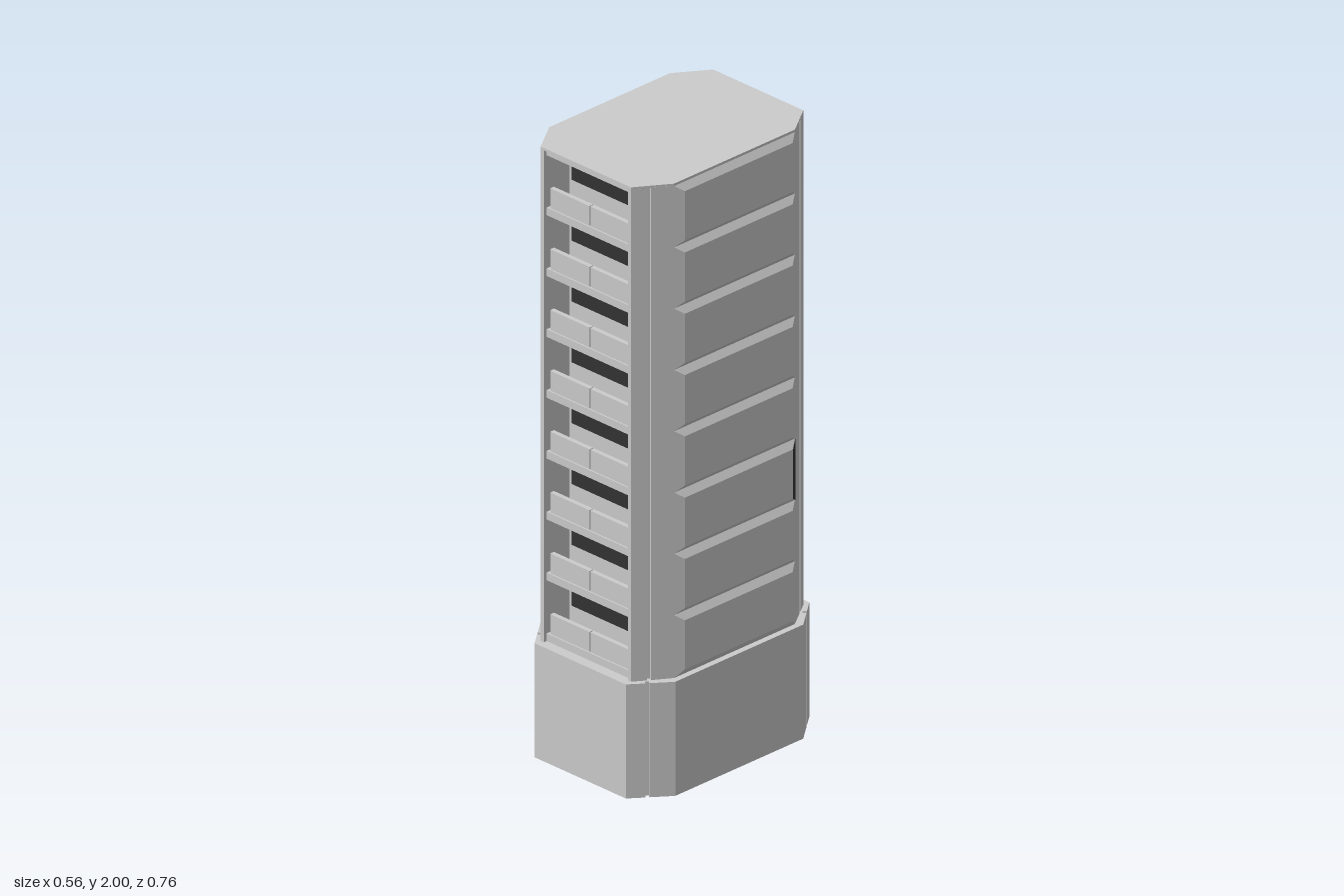
import * as THREE from 'three';

const grey = new THREE.MeshStandardMaterial({ color: 0xcccccc, flatShading: true });
const dark = new THREE.MeshStandardMaterial({ color: 0x333333, flatShading: true, side: THREE.DoubleSide });

const FRONT = 0.357, NOTCH = 0.26, BULGE = 0.278;
const FLOORS = 8, PITCH = 0.2015, FIRST = 0.38;
// the corner chamfers lie on one slanted plane, so z follows from x
const chamferZ = x => 0.25 - (x - NOTCH) * 1.5;

// Chamfer from p to q with a narrow square slot cut at its point g
function slottedChamfer(p, q, g, half = 0.006, depth = 0.012) {
  const len = Math.hypot(q[0] - p[0], q[1] - p[1]);
  const t = [(q[0] - p[0]) / len, (q[1] - p[1]) / len];
  const n = [-t[1], t[0]];
  const at = (s, d) => [g[0] + t[0] * s - n[0] * d, g[1] + t[1] * s - n[1] * d];
  return [p, at(-half, 0), at(-half, depth), at(half, depth), at(half, 0), q];
}
const flipZ = pts => pts.map(([x, z]) => [x, -z]).reverse();
const closeRing = half => [...half, ...half.map(([x, z]) => [-x, z]).reverse()];

// Tower outline at half width w, with front and back recesses
function towerRing(w) {
  const corner = slottedChamfer([0.188, FRONT], [w, chamferZ(w)], [0.218, 0.313]);
  return closeRing([
    [0.175, 0.25], [0.175, FRONT], ...corner,
    ...flipZ(corner), [0.085, -FRONT], [0.085, -0.285],
  ]);
}

// Walls through stacked rings
function loft(levels) {
  const pos = [];
  for (let i = 0; i < levels.length - 1; i++) {
    const lo = levels[i], hi = levels[i + 1];
    lo.ring.forEach((a, j) => {
      const k = (j + 1) % lo.ring.length;
      const A = [a[0], lo.y, a[1]], B = [lo.ring[k][0], lo.y, lo.ring[k][1]];
      const C = [hi.ring[k][0], hi.y, hi.ring[k][1]], D = [hi.ring[j][0], hi.y, hi.ring[j][1]];
      pos.push(...A, ...B, ...C, ...A, ...C, ...D);
    });
  }
  const geo = new THREE.BufferGeometry();
  geo.setAttribute('position', new THREE.Float32BufferAttribute(pos, 3));
  geo.computeVertexNormals();
  return geo;
}

// Solid plate from a ring
function prism(ring, y0, y1) {
  const shape = new THREE.Shape(ring.map(([x, z]) => new THREE.Vector2(x, -z)));
  const geo = new THREE.ExtrudeGeometry(shape, { depth: y1 - y0, bevelEnabled: false });
  return geo.rotateX(-Math.PI / 2).translate(0, y0, 0);
}

export function createModel() {
  const group = new THREE.Group();
  const add = (name, geo, mat = grey) => {
    const mesh = new THREE.Mesh(geo, mat);
    mesh.name = name;
    group.add(mesh);
  };
  const box = (name, x0, x1, y0, y1, z0, z1, mat) => add(name,
    new THREE.BoxGeometry(x1 - x0, y1 - y0, z1 - z0)
      .translate((x0 + x1) / 2, (y0 + y1) / 2, (z0 + z1) / 2), mat);

  // Podium
  const baseCorner = slottedChamfer([0.19, 0.38], [0.28, 0.265], [0.2291, 0.33]);
  add('podium', prism(closeRing([...baseCorner, ...flipZ(baseCorner)]), 0, 0.375));

  // Tower walls, notched at every floor
  const levels = [];
  for (let i = 0; i <= FLOORS; i++) {
    const y = FIRST + i * PITCH;
    if (i > 0) levels.push({ y: y - 0.02, ring: towerRing(BULGE) });
    levels.push({ y: i ? y : 0.375, ring: towerRing(NOTCH) });
    if (i < FLOORS) levels.push({ y: y + 0.02, ring: towerRing(BULGE) });
  }
  add('towerWalls', loft(levels));

  // Roof plate
  const roofCorner = [[0.188, FRONT], [NOTCH, 0.25]];
  add('roof', prism(closeRing([...roofCorner, ...flipZ(roofCorner)]), 1.992, 2));

  // Front bays: floor slab, two parapet panels and a dark window each
  for (let i = 0; i < FLOORS; i++) {
    const y = 0.375 + i * 0.2;
    box('floorSlab', -0.175, 0.175, y, y + 0.025, 0.249, 0.345);
    for (const s of [-1, 1]) {
      const a = s * 0.0015, b = s * 0.165;
      box('parapetPanel', Math.min(a, b), Math.max(a, b), y + 0.025, y + 0.09, 0.325, 0.34);
    }
    box('window', -0.16, 0.16, y + 0.09, y + 0.193, 0.24, 0.256, dark);
  }
  box('lintel', -0.175, 0.175, 1.972, 1.992, 0.249, 0.345);

  // Dark openings on the rear edges of the third floor
  const y0 = FIRST + 2 * PITCH, y1 = y0 + PITCH;
  for (const s of [-1, 1]) {
    const e = 0.001;
    const a = [s * (NOTCH + e), -0.25 - e], b = [s * (BULGE + e), -chamferZ(BULGE) - e];
    const geo = new THREE.BufferGeometry();
    geo.setAttribute('position', new THREE.Float32BufferAttribute([
      a[0], y0, a[1], a[0], y1, a[1], b[0], y1 - 0.02, b[1], b[0], y0 + 0.02, b[1],
    ], 3));
    geo.setIndex(s > 0 ? [0, 1, 2, 0, 2, 3] : [0, 2, 1, 0, 3, 2]);
    geo.computeVertexNormals();
    add('rearEdgeOpening', geo, dark);
  }
  return group;
}
